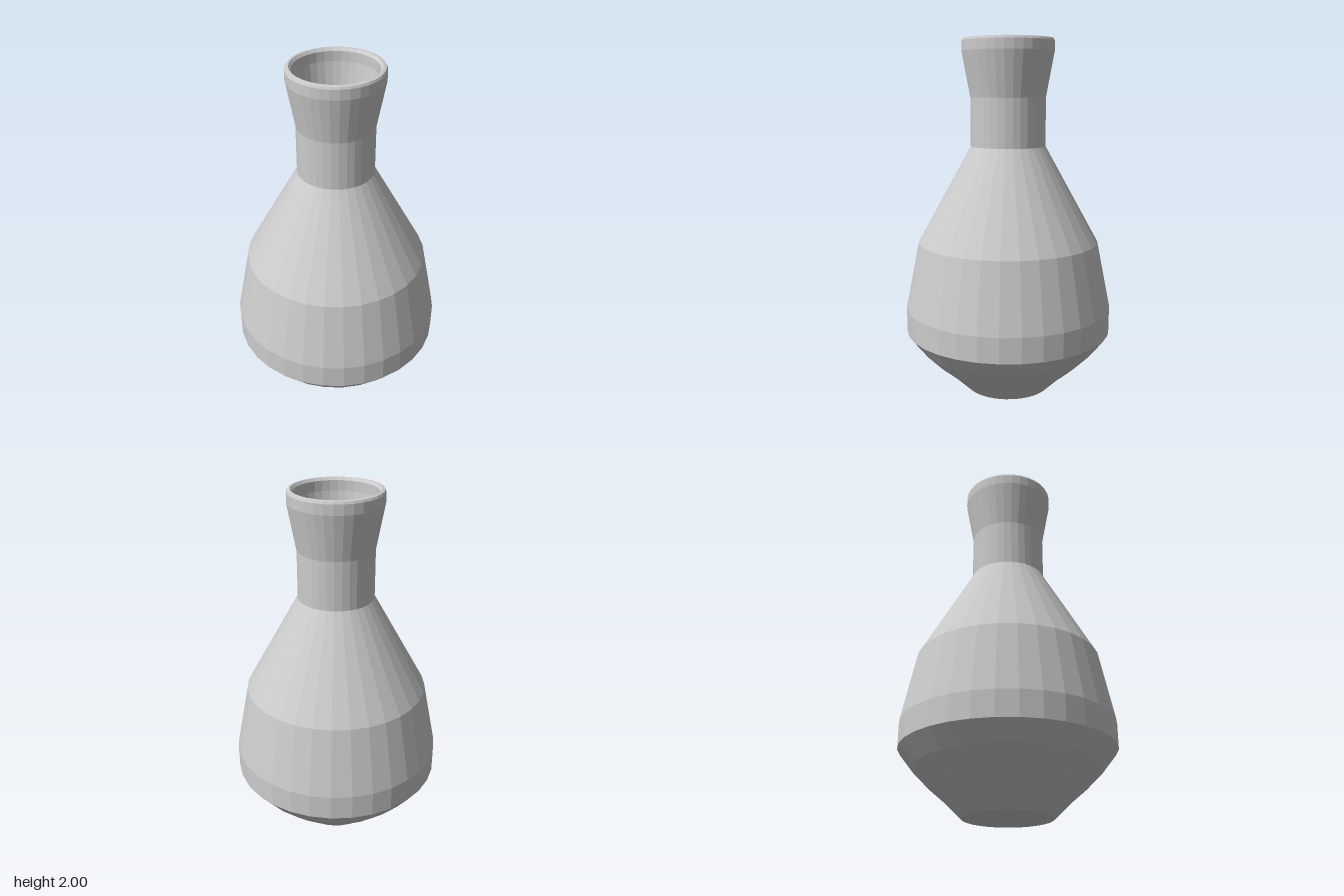
import * as THREE from 'three';

const SIDES = 32;

// Faceted solid of revolution from [radius, height] pairs
function turned(name, profile, material) {
  const points = profile.map(([r, y]) => new THREE.Vector2(r, y));
  const mesh = new THREE.Mesh(new THREE.LatheGeometry(points, SIDES), material);
  mesh.name = name;
  return mesh;
}

export function createModel() {
  const group = new THREE.Group();
  group.name = 'vase';
  const material = new THREE.MeshStandardMaterial({
    color: 0xcccccc, flatShading: true, side: THREE.DoubleSide,
  });

  // Flat foot, flared base, shoulder and waisted neck
  group.add(turned('outerWall', [
    [0, 0], [0.243, 0], [0.33, 0.085], [0.418, 0.16], [0.508, 0.25],
    [0.587, 0.35], [0.587, 0.49], [0.51, 0.87], [0.21, 1.41],
    [0.21, 1.68], [0.256, 1.93], [0.256, 1.985],
  ], material));

  // Rim with bevelled outer and inner edges
  group.add(turned('rim', [
    [0.256, 1.985], [0.25, 1.997], [0.235, 2], [0.222, 1.985], [0.222, 1.93],
  ], material));

  // Hollow inside, listed from the mouth down to the floor
  group.add(turned('innerWall', [
    [0.222, 1.93], [0.185, 1.68], [0.185, 1.4], [0.485, 0.86],
    [0.56, 0.49], [0.56, 0.36], [0.49, 0.27], [0.4, 0.18],
    [0.31, 0.105], [0.23, 0.03], [0, 0.03],
  ], material));

  return group;
}
